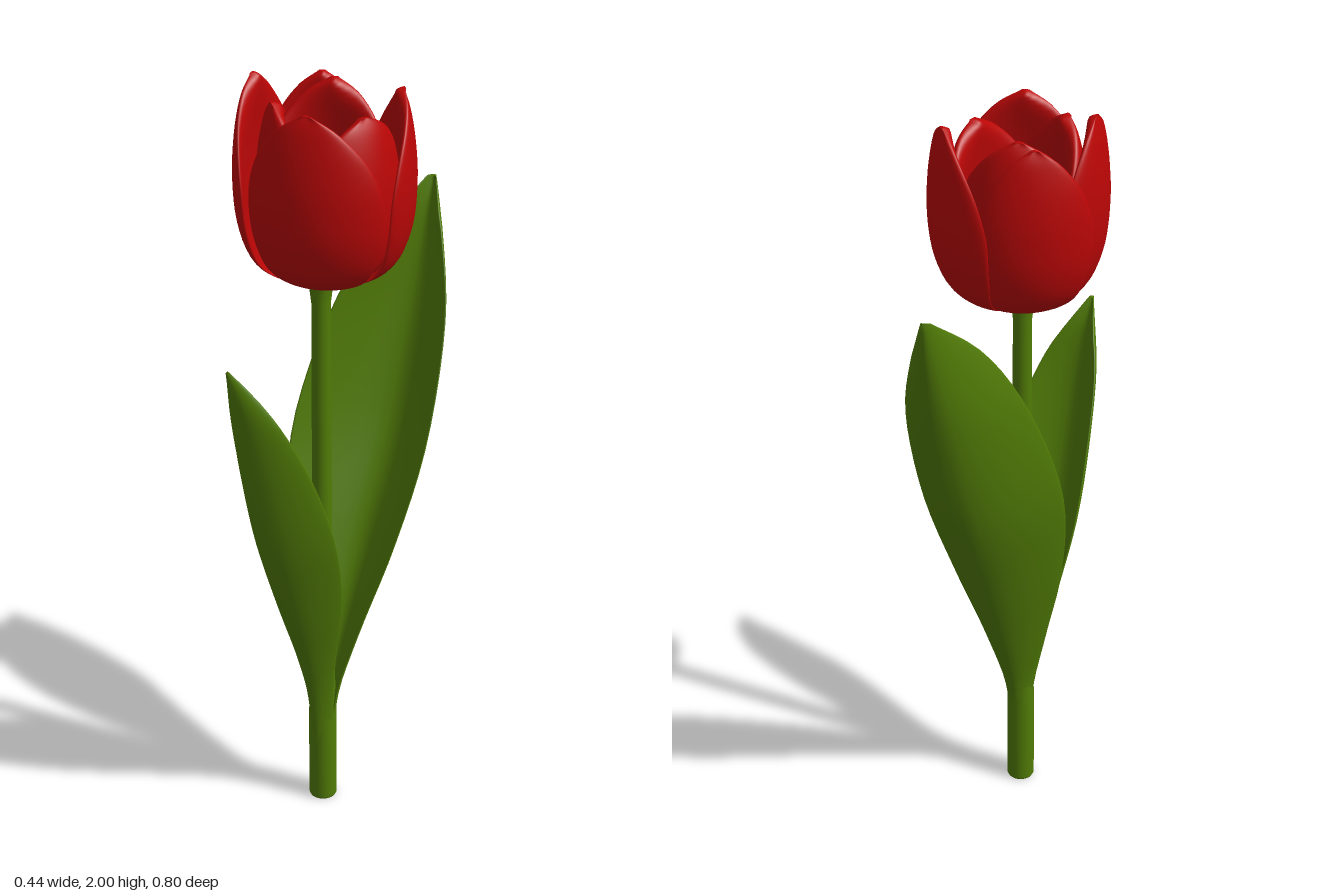
import * as THREE from 'three';

const green = new THREE.MeshStandardMaterial({ color: 0x517b06 });
green.name = 'leaf green';
const red = new THREE.MeshStandardMaterial({ color: 0xbb0606 });
red.name = 'petal red';
const dark = new THREE.MeshStandardMaterial({ color: 0x180404 });
dark.name = 'dark heart';

// Smooth interpolation through evenly spaced rows of numbers
function sample(rows, t) {
  const f = t * (rows.length - 1);
  const i = Math.min(Math.floor(f), rows.length - 2);
  const k = f - i;
  const row = (n) => rows[THREE.MathUtils.clamp(n, 0, rows.length - 1)];
  return rows[i].map((b, c) => {
    const a = row(i - 1)[c], d = row(i + 1)[c], e = row(i + 2)[c];
    return b + 0.5 * k * (d - a + k * (2 * a - 5 * b + 4 * d - e + k * (3 * (b - d) + e - a)));
  });
}

// Closed thin blade: point(u, v, side) with u across -1..1, v along 0..1,
// side 0 on the outer face rising to 1 on the inner face
function blade(point, nu = 20, nv = 32) {
  const pos = [], index = [], ring = nu * 2;
  for (let j = 0; j <= nv; j++) {
    for (let i = 0; i < ring; i++) {
      const angle = (i / ring) * Math.PI * 2;
      const u = -Math.cos(angle);
      pos.push(...point(u, j / nv, 0.5 - 0.5 * Math.sin(angle)));
    }
  }
  for (let j = 0; j < nv; j++) {
    for (let i = 0; i < ring; i++) {
      const a = j * ring + i, b = j * ring + ((i + 1) % ring);
      index.push(a, a + ring, b, b, a + ring, b + ring);
    }
  }
  // Close the tip
  for (let i = 1; i < ring - 1; i++) index.push(nv * ring, nv * ring + i + 1, nv * ring + i);
  const g = new THREE.BufferGeometry();
  g.setAttribute('position', new THREE.Float32BufferAttribute(pos, 3));
  g.setIndex(index);
  g.computeVertexNormals();
  return g;
}

function add(parent, name, geometry, material) {
  const mesh = new THREE.Mesh(geometry, material);
  mesh.name = name;
  parent.add(mesh);
  return mesh;
}

// Leaf rows: height, half width, z of the midrib, z of the -x edge, z of the +x edge
const backRows = [
  [0.1, 0.03, 0.045, 0.07, 0.07], [0.3, 0.042, 0.03, 0.07, 0.06], [0.5, 0.085, -0.04, 0.06, 0.015],
  [0.75, 0.142, -0.145, 0.04, -0.065], [1.02, 0.172, -0.265, -0.02, -0.16],
  [1.3, 0.14, -0.345, -0.13, -0.275], [1.5, 0.078, -0.385, -0.24, -0.345],
  [1.64, 0.012, -0.402, -0.385, -0.395],
];
const frontRows = [
  [0.1, 0.03, 0.105, 0.075, 0.075], [0.3, 0.042, 0.12, 0.08, 0.085], [0.45, 0.065, 0.16, 0.08, 0.1],
  [0.65, 0.11, 0.235, 0.085, 0.125], [0.85, 0.137, 0.3, 0.125, 0.18], [1.05, 0.125, 0.345, 0.2, 0.25],
  [1.22, 0.085, 0.375, 0.295, 0.325], [1.36, 0.008, 0.402, 0.39, 0.395],
];

function leaf(rows, dir) {
  return blade((u, v, side) => {
    const [y, w, rib, edgeR, edgeL] = sample(rows, v);
    const t = 0.02 * side * Math.min(1, w / 0.05);
    const x = -dir * (w - t * 0.6) * u;
    const edge = x > 0 ? edgeL : edgeR;
    return [x - 0.02 * v * v, y, rib + (edge - rib) * Math.abs(u) ** 1.8 - dir * t];
  });
}

// Petal rows: height, radius, share of the full angular width
const petalRows = [
  [1.5, 0.03, 1], [1.513, 0.105, 0.95], [1.56, 0.172, 0.95], [1.65, 0.208, 1],
  [1.76, 0.218, 0.98], [1.86, 0.212, 0.78], [1.94, 0.198, 0.42], [1.98, 0.183, 0.05],
];

// slant pushes one side edge outward and the other inward, so petals overlap;
// lean tips the top of the petal inward
function petal({ at, half, top, scale, thick, slant, lean }) {
  const centre = THREE.MathUtils.degToRad(at), spread = THREE.MathUtils.degToRad(half);
  return blade((u, v, side) => {
    const [y, r0, share] = sample(petalRows, v);
    const grow = Math.min(1, r0 / 0.2);
    const tip = Math.sqrt(Math.max(0.02, 1 - v ** 8));
    const offset = (slant * u * share + 0.01 * u * u) * grow;
    const r = r0 * scale * (1 - lean * v ** 3) + offset - thick * side * grow * tip;
    const a = centre + spread * share * u;
    const h = 1.5 + (y - 1.5) * (top - 1.5) / 0.48;
    return [r * Math.cos(a), h, r * Math.sin(a)];
  });
}

export function createModel() {
  const model = new THREE.Group();
  model.name = 'tulip';

  // Stem, thick at the foot and slightly flared below the bloom
  const profile = [[0, 0], [0.034, 0], [0.037, 0.006], [0.037, 0.25], [0.032, 0.4], [0.027, 0.6],
    [0.025, 1], [0.024, 1.44], [0.03, 1.49], [0.035, 1.515], [0, 1.52]];
  const stem = add(model, 'stem',
    new THREE.LatheGeometry(profile.map(([x, y]) => new THREE.Vector2(x, y)), 28), green);
  stem.position.set(-0.003, 0, 0.072);

  add(model, 'backLeaf', leaf(backRows, -1), green);
  add(model, 'frontLeaf', leaf(frontRows, 1), green);

  // Bloom: overlapping outer petals around three inner ones
  const bloom = new THREE.Group();
  bloom.name = 'bloom';
  bloom.position.z = 0.058;
  model.add(bloom);
  const outer = [
    { at: 64, half: 54, top: 1.97, scale: 0.99, slant: -0.012 },
    { at: 162, half: 48, top: 2.0, scale: 0.99, slant: -0.012 },
    { at: 228, half: 44, top: 1.97, scale: 0.98, slant: -0.01 },
    { at: 312, half: 52, top: 1.975, scale: 1.01, slant: 0.004 },
  ];
  const inner = [
    { at: 5, half: 74, top: 1.94, scale: 0.82, slant: -0.01 },
    { at: 122, half: 72, top: 1.96, scale: 0.8, slant: -0.01 },
    { at: 240, half: 74, top: 1.97, scale: 0.8, slant: -0.01 },
  ];
  for (const p of outer) add(bloom, 'outerPetal', petal({ ...p, thick: 0.038, lean: 0 }), red);
  for (const p of inner) add(bloom, 'innerPetal', petal({ ...p, thick: 0.05, lean: 0.12 }), red);

  // Dark hollow at the heart of the bloom
  const heart = add(bloom, 'heart', new THREE.CircleGeometry(0.14, 32), dark);
  heart.rotation.x = -Math.PI / 2;
  heart.position.y = 1.74;

  return model;
}
